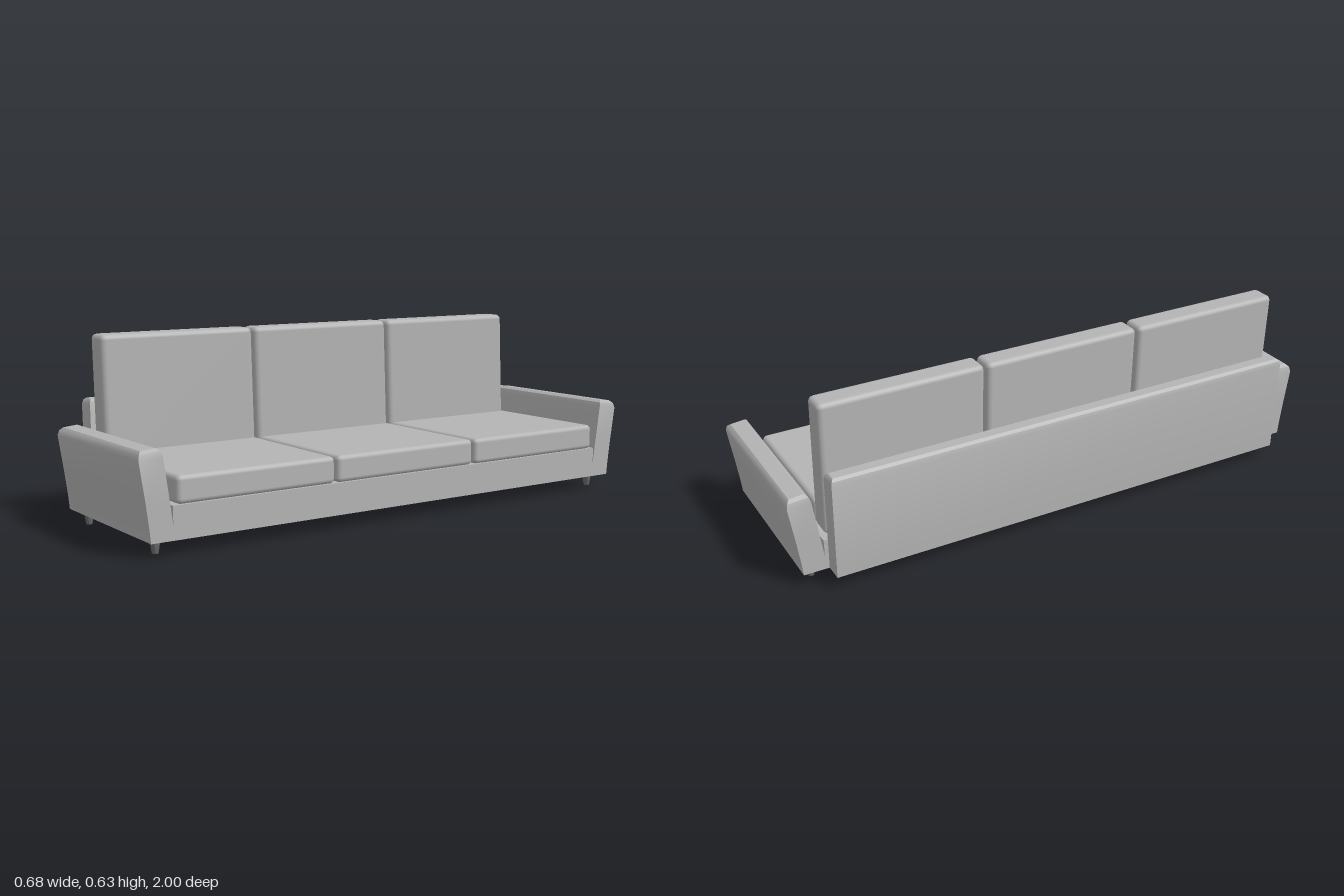
import * as THREE from 'three';
import { toCreasedNormals } from 'three/addons/utils/BufferGeometryUtils.js';
import { RoundedBoxGeometry } from 'three/addons/geometries/RoundedBoxGeometry.js';

// Upright block from stacked rectangles; each layer is [y, insetX, insetZ, shiftX, shiftZ]
function layeredBlock(width, depth, layers) {
  const pos = [], index = [];
  const corners = [[-1, 1], [1, 1], [1, -1], [-1, -1]];
  for (const [y, ix, iz, sx, sz] of layers) {
    for (const [cx, cz] of corners) {
      pos.push(cx * (width / 2 - ix) + sx, y, cz * (depth / 2 - iz) + sz);
    }
  }
  for (let l = 0; l < layers.length - 1; l++) {
    for (let i = 0; i < 4; i++) {
      const a = l * 4 + i, b = l * 4 + (i + 1) % 4;
      index.push(a, b, b + 4, a, b + 4, a + 4);
    }
  }
  const t = (layers.length - 1) * 4;
  index.push(t, t + 1, t + 2, t, t + 2, t + 3, 0, 2, 1, 0, 3, 2);
  const geo = new THREE.BufferGeometry();
  geo.setAttribute('position', new THREE.Float32BufferAttribute(pos, 3));
  geo.setIndex(index);
  return geo;
}

export function createModel() {
  const sofa = new THREE.Group();
  sofa.name = 'sofa';
  const fabric = new THREE.MeshStandardMaterial({ color: 0xb4b4b4 });
  fabric.name = 'greyFabric';
  const legPaint = new THREE.MeshStandardMaterial({ color: 0x707070 });
  legPaint.name = 'darkGreyLegs';

  const add = (name, geometry, material, x = 0, y = 0, z = 0) => {
    const mesh = new THREE.Mesh(geometry, material);
    mesh.name = name;
    mesh.position.set(x, y, z);
    sofa.add(mesh);
    return mesh;
  };

  // Seat base between the arms
  add('base', new THREE.BoxGeometry(0.602, 0.108, 1.78), fabric, 0.036, 0.101, 0);

  // Flared arms with bevelled, slightly tilted tops
  for (const side of [1, -1]) {
    const arm = layeredBlock(0.602, 0.08, [
      [0.047, 0, 0, 0, 0],
      [0.095, 0, 0, 0, side * 0.005],
      [0.17, 0, 0, 0, side * 0.015],
      [0.305, 0, 0, 0, side * 0.035],
      [0.322, 0.005, 0.005, 0, side * 0.036],
      [0.331, 0.018, 0.016, 0, side * 0.037],
    ]);
    const p = arm.attributes.position;
    for (let i = 0; i < p.count; i++) {
      if (p.getY(i) > 0.2) p.setY(i, p.getY(i) - 0.1 * (side * p.getZ(i) - 0.036));
    }
    add(side > 0 ? 'leftArm' : 'rightArm', toCreasedNormals(arm, 0.6), fabric, 0.036, 0, side * 0.925);
  }

  // Low back panel leaning rearwards
  const panel = layeredBlock(0.066, 1.754, [
    [0.047, 0, 0, 0, 0],
    [0.388, 0, 0, -0.011, 0],
    [0.402, 0.004, 0.003, -0.011, 0],
    [0.41, 0.014, 0.01, -0.011, 0],
  ]);
  add('backPanel', toCreasedNormals(panel, 0.6), fabric, -0.298, 0, 0);

  // Three seat cushions and three leaning back cushions
  const seatGeo = new RoundedBoxGeometry(0.5, 0.09, 0.577, 2, 0.016);
  const backGeo = new RoundedBoxGeometry(0.09, 0.478, 0.577, 2, 0.018);
  backGeo.applyMatrix4(new THREE.Matrix4().makeShear(0, 0, -0.045, 0, 0, 0));
  const bp = backGeo.attributes.position;
  if (bp.getX(0) !== undefined) {
    // Set the lean explicitly so that the top sits further back than the foot
    const fresh = new RoundedBoxGeometry(0.09, 0.478, 0.577, 2, 0.018);
    const fp = fresh.attributes.position;
    for (let i = 0; i < fp.count; i++) bp.setXYZ(i, fp.getX(i) - 0.045 * fp.getY(i), fp.getY(i), fp.getZ(i));
    backGeo.attributes.normal.copy(fresh.attributes.normal);
  }
  for (let i = -1; i <= 1; i++) {
    add('seatCushion', seatGeo, fabric, 0.091, 0.2, i * 0.587);
    add('backCushion', backGeo, fabric, -0.209, 0.394, i * 0.587);
  }

  // Tapered legs with a small bevel at the foot
  const legGeo = toCreasedNormals(new THREE.LatheGeometry([
    new THREE.Vector2(0, 0),
    new THREE.Vector2(0.009, 0),
    new THREE.Vector2(0.011, 0.004),
    new THREE.Vector2(0.0175, 0.048),
    new THREE.Vector2(0, 0.048),
  ], 12), 0.6);
  for (const x of [-0.207, 0.276]) {
    for (const z of [-0.922, 0.922]) add('leg', legGeo, legPaint, x, 0, z);
  }

  return sofa;
}
